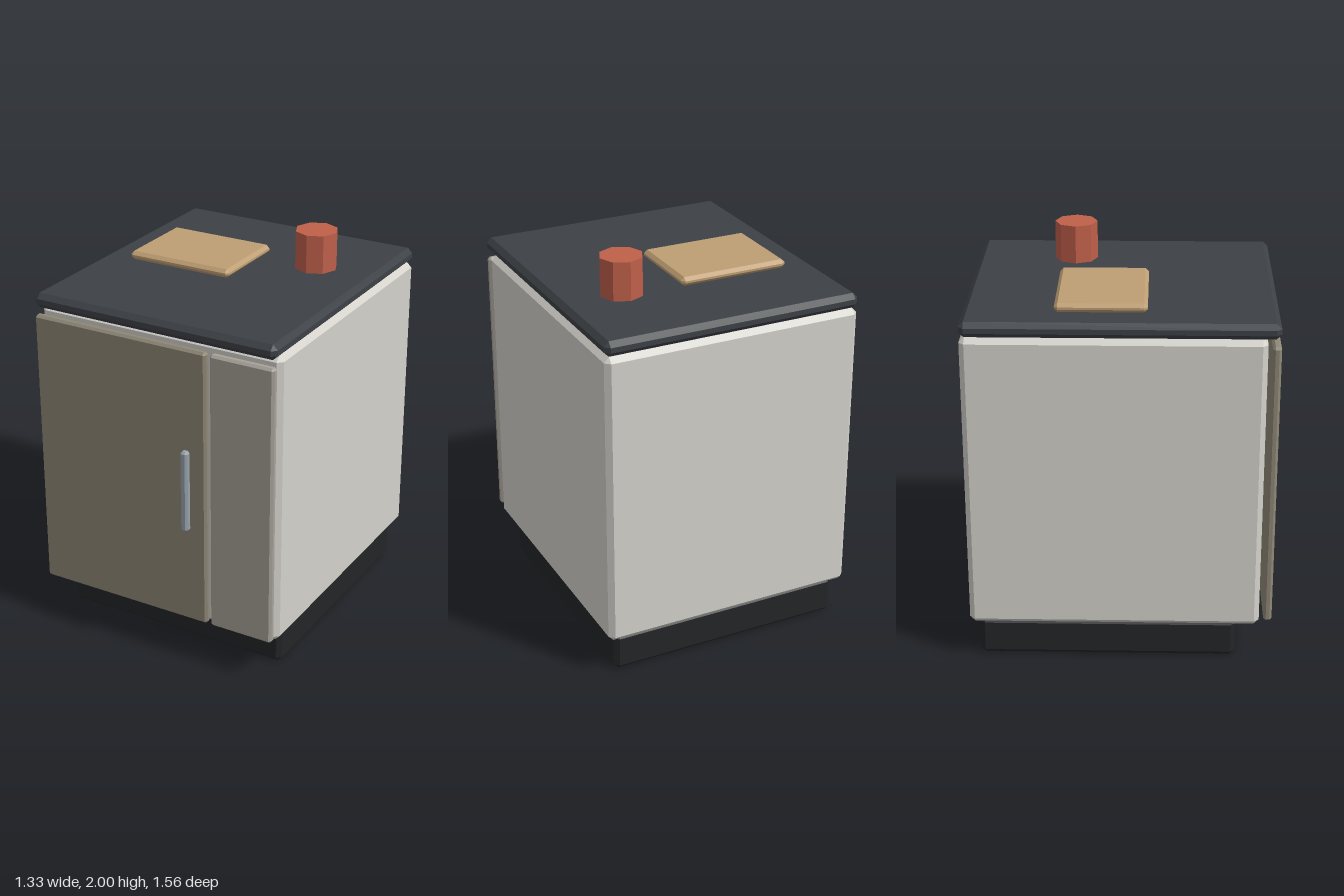
import * as THREE from 'three';
import { ConvexGeometry } from 'three/addons/geometries/ConvexGeometry.js';

// Box with all edges chamfered by b, given as [min, max] per axis
function chamferBox(x, y, z, b) {
  const size = [x, y, z].map(([lo, hi]) => (hi - lo) / 2);
  const points = [];
  for (const sx of [-1, 1]) for (const sy of [-1, 1]) for (const sz of [-1, 1]) {
    for (let full = 0; full < 3; full++) {
      const h = size.map((s, i) => (i === full ? s : s - b));
      points.push(new THREE.Vector3(sx * h[0], sy * h[1], sz * h[2]));
    }
  }
  const mid = ([lo, hi]) => (lo + hi) / 2;
  return new ConvexGeometry(points).translate(mid(x), mid(y), mid(z));
}

export function createModel() {
  const group = new THREE.Group();
  const add = (name, geometry, color) => {
    const material = new THREE.MeshStandardMaterial({ color, flatShading: true });
    const mesh = new THREE.Mesh(geometry, material);
    mesh.name = name;
    group.add(mesh);
  };

  // Cabinet: recessed plinth, body and worktop
  add('plinth', chamferBox([-0.62, 0.62], [0, 0.203], [-0.732, 0.558], 0.024), 0x232527);
  add('body', chamferBox([-0.665, 0.665], [0.203, 1.726], [-0.778, 0.674], 0.026), 0xd4d2cb);
  add('worktop', chamferBox([-0.665, 0.665], [1.728, 1.804], [-0.778, 0.735], 0.025), 0x3d4146);

  // Front: wide door, narrow fixed panel and upright handle
  add('door', chamferBox([-0.66, 0.3], [0.229, 1.694], [0.695, 0.737], 0.012), 0x8f8877);
  add('sidePanel', chamferBox([0.32, 0.66], [0.229, 1.694], [0.695, 0.737], 0.012), 0xa7a299);
  add('handle', chamferBox([0.179, 0.219], [0.748, 1.18], [0.739, 0.779], 0.011), 0x98a2ab);

  // Items standing on the worktop
  add('board', chamferBox([-0.512, 0.06], [1.804, 1.849], [-0.337, 0.108], 0.017), 0xbf9f74);
  const cup = new THREE.CylinderGeometry(0.109, 0.109, 0.196, 8).translate(0.353, 1.902, -0.27);
  add('cup', cup, 0xc0604a);

  return group;
}
